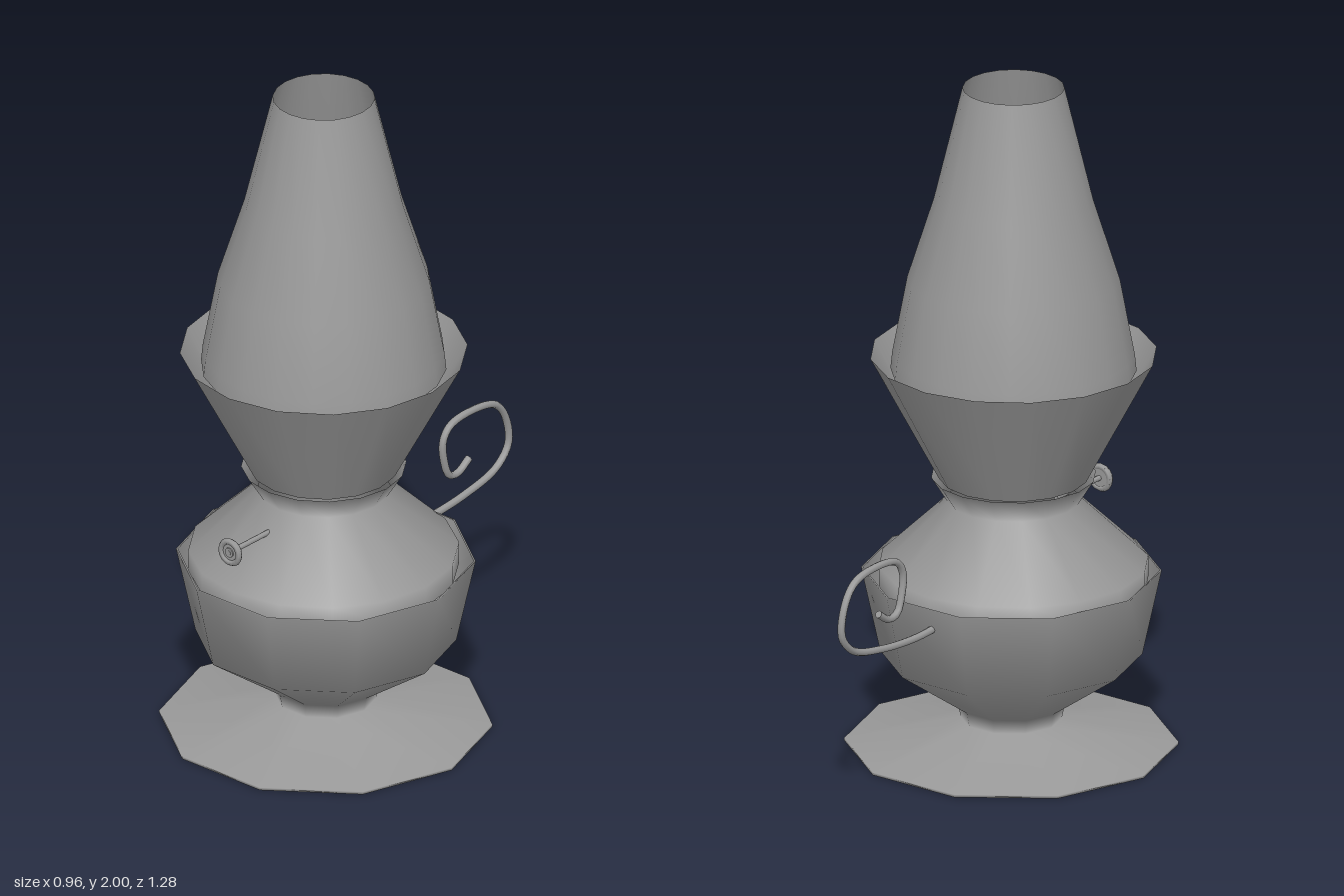
import * as THREE from 'three';

const AXIS_X = -0.008;
const AXIS_Z = 0.186;

const metal = new THREE.MeshStandardMaterial({ color: 0x999999, side: THREE.DoubleSide });

// Thin turned shell from [radius, height] pairs, listed from bottom to top
function turned(name, profile, sides, phi = 0, x = AXIS_X) {
  const points = profile.map(([r, y]) => new THREE.Vector2(r, y));
  const mesh = new THREE.Mesh(new THREE.LatheGeometry(points, sides, phi), metal);
  mesh.name = name;
  mesh.position.set(x, 0, AXIS_Z);
  return mesh;
}

// Cylinder lying along z between two depths
function alongZ(name, radius, z0, z1, sides) {
  const geometry = new THREE.CylinderGeometry(radius, radius, z1 - z0, sides);
  geometry.rotateX(Math.PI / 2);
  const mesh = new THREE.Mesh(geometry, metal);
  mesh.name = name;
  mesh.position.z = (z0 + z1) / 2;
  return mesh;
}

export function createModel() {
  const lamp = new THREE.Group();
  lamp.name = 'oilLamp';

  // Ten-sided foot, stem and open oil bowl turned as one smooth piece
  lamp.add(turned('footAndBowl', [
    [0, 0.02], [0.478, 0], [0.478, 0.008], [0.145, 0.078], [0.153, 0.12],
    [0.375, 0.275], [0.43, 0.53], [0.424, 0.53],
  ], 10, Math.PI / 2, 0));

  // Raised floor inside the stem
  lamp.add(turned('bowlFloor', [[0.145, 0.078], [0, 0.1]], 10, Math.PI / 2, 0));

  // Shoulder with flared neck, set inside the bowl rim
  lamp.add(turned('shoulder', [
    [0.388, 0.49], [0.388, 0.555], [0.19, 0.745], [0.237, 0.82],
  ], 16));

  // Flared gallery holding the chimney
  lamp.add(turned('gallery', [[0.214, 0.815], [0.412, 1.19]], 16));

  // Open glass chimney
  lamp.add(turned('chimney', [
    [0.352, 1.14], [0.347, 1.19], [0.304, 1.42], [0.228, 1.66], [0.146, 2],
  ], 20));

  // Wick adjuster: rod, wheel with raised rim, and hub
  const adjuster = new THREE.Group();
  adjuster.name = 'wickAdjuster';
  adjuster.position.set(-0.01, 0.692, 0);
  adjuster.add(alongZ('adjusterRod', 0.008, 0.38, 0.597, 8));
  adjuster.add(alongZ('adjusterWheel', 0.039, 0.582, 0.592, 16));
  const rim = new THREE.Mesh(new THREE.TorusGeometry(0.033, 0.01, 6, 16), metal);
  rim.name = 'adjusterRim';
  rim.position.z = 0.589;
  adjuster.add(rim, alongZ('adjusterHub', 0.015, 0.585, 0.596, 10));
  lamp.add(adjuster);

  // Scrolled wire handle, as [z, y] points from the bowl to the curled tip
  const path = [
    [-0.17, 0.468], [-0.285, 0.462], [-0.445, 0.475], [-0.575, 0.508], [-0.628, 0.565],
    [-0.618, 0.65], [-0.575, 0.71], [-0.49, 0.732], [-0.375, 0.72], [-0.345, 0.68],
    [-0.35, 0.615], [-0.372, 0.563], [-0.41, 0.556], [-0.458, 0.585],
  ].map(([z, y]) => new THREE.Vector3(-0.02, y, z));
  const curve = new THREE.CatmullRomCurve3(path);
  const handle = new THREE.Mesh(new THREE.TubeGeometry(curve, 64, 0.011, 8), metal);
  handle.name = 'handle';
  lamp.add(handle);

  // Flat caps on the wire ends
  [0, 1].forEach((t) => {
    const cap = new THREE.Mesh(new THREE.CircleGeometry(0.011, 8), metal);
    cap.name = 'handleEnd';
    cap.position.copy(curve.getPointAt(t));
    cap.lookAt(cap.position.clone().addScaledVector(curve.getTangentAt(t), t ? 1 : -1));
    lamp.add(cap);
  });

  return lamp;
}
